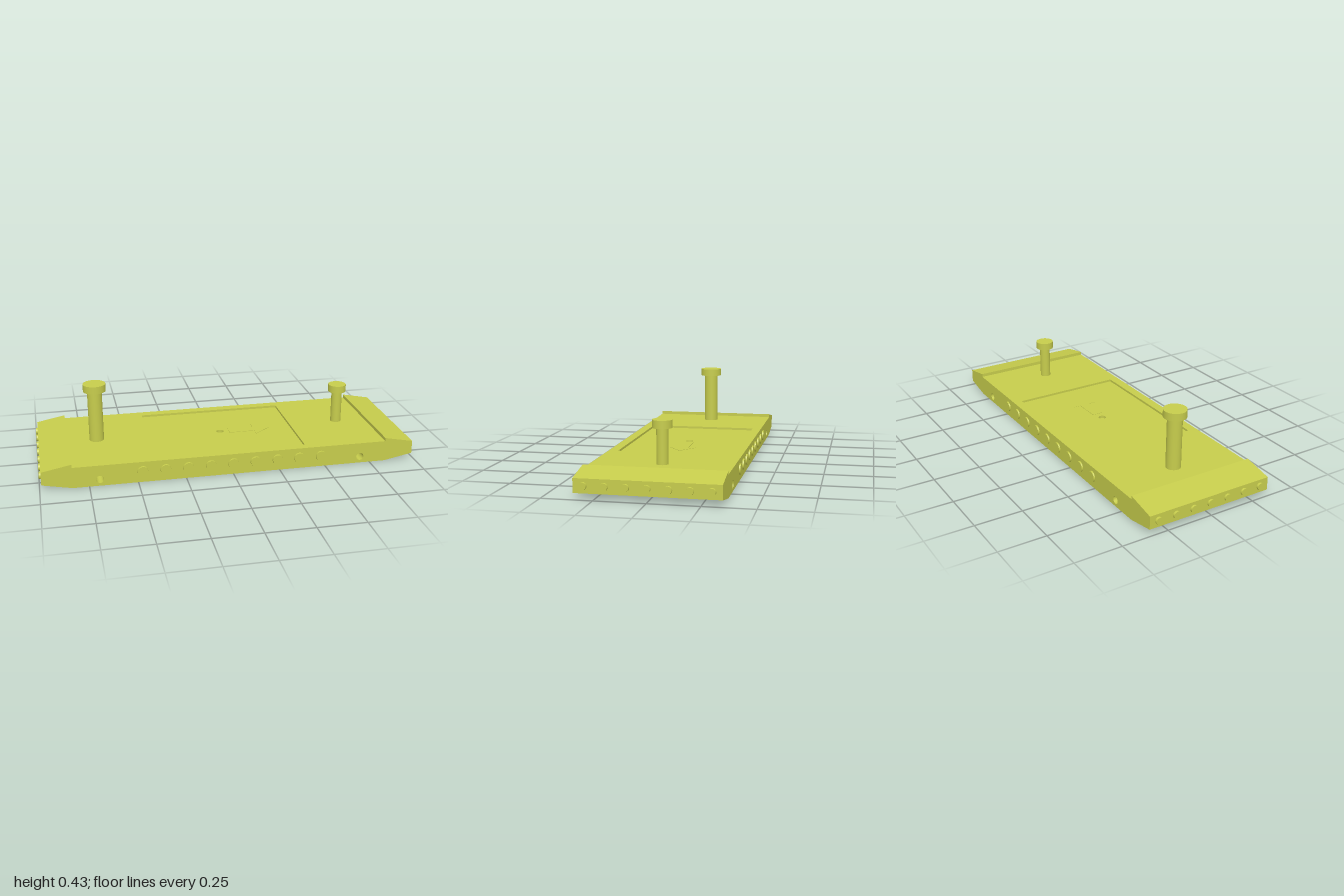
import * as THREE from 'three';

const mat = new THREE.MeshStandardMaterial({ color: 0xc6cc4c });
const HALF_Z = 0.347, RIDGE = 0.835, DECK = 0.112, PAN = 0.1, BASE = 0.085;

function add(parent, name, geo, x = 0, y = 0, z = 0) {
  const mesh = new THREE.Mesh(geo, mat);
  mesh.name = name;
  mesh.position.set(x, y, z);
  parent.add(mesh);
  return mesh;
}

const polygon = (pts) => new THREE.Shape(pts.map(([x, y]) => new THREE.Vector2(x, y)));
const rect = (w, h) => polygon([[-w, -h], [w, -h], [w, h], [-w, h]]);

function circle(x, y, r) {
  const path = new THREE.Path();
  path.absarc(x, y, r, 0, Math.PI * 2, true);
  return path;
}

// Horizontal plate lying between two heights
function plate(shape, y0, y1) {
  const geo = new THREE.ExtrudeGeometry(shape, { depth: y1 - y0, bevelEnabled: false, curveSegments: 16 });
  return geo.rotateX(-Math.PI / 2).translate(0, y0, 0);
}

// Post with a wider cap
function post(name, x, r, capR, capY, topY) {
  const g = new THREE.Group();
  g.name = name;
  g.position.x = x;
  add(g, 'postShaft', new THREE.CylinderGeometry(r, r, capY - PAN, 32), 0, (capY + PAN) / 2);
  add(g, 'postCap', new THREE.CylinderGeometry(capR, capR, topY - capY, 32), 0, (capY + topY) / 2);
  return g;
}

export function createModel() {
  const model = new THREE.Group();
  model.name = 'sledPlate';

  // Body: side profile with sloped ends, raised end ridges and two cross holes
  const profile = polygon([
    [-RIDGE, 0], [RIDGE, 0], [0.99, 0.03], [0.99, 0.1], [RIDGE, 0.13],
    [RIDGE, BASE], [-RIDGE, BASE], [-RIDGE, 0.13], [-0.99, 0.1], [-0.99, 0.03],
  ]);
  for (const x of [-0.695, 0.695]) profile.holes.push(circle(x, 0.035, 0.02));
  const body = new THREE.ExtrudeGeometry(profile, { depth: 2 * HALF_Z, bevelEnabled: false, curveSegments: 16 });
  add(model, 'body', body.translate(0, 0, -HALF_Z));

  // Recess floor with its centre hole
  const floor = rect(RIDGE, HALF_Z);
  floor.holes.push(circle(0, 0, 0.02));
  add(model, 'recessFloor', plate(floor, BASE, PAN));

  // Deck around the rectangular recess
  const deck = rect(RIDGE, HALF_Z);
  deck.holes.push(rect(0.398, 0.298));
  add(model, 'deck', plate(deck, PAN, DECK));

  // Direction arrow on the recess floor
  const arrow = polygon([
    [0.05, -0.03], [0.19, -0.03], [0.19, -0.07], [0.28, 0], [0.19, 0.07], [0.19, 0.03], [0.05, 0.03],
  ]);
  add(model, 'directionArrow', plate(arrow, PAN, PAN + 0.002));

  model.add(post('tallPost', -0.68, 0.039, 0.06, 0.39, 0.43));
  model.add(post('shortPost', 0.67, 0.029, 0.049, 0.29, 0.33));

  // Round studs on the long sides and on both ends
  const sideStud = new THREE.CylinderGeometry(0.027, 0.03, 0.02, 24).rotateX(Math.PI / 2);
  const endStud = new THREE.CylinderGeometry(0.018, 0.02, 0.02, 24).rotateZ(-Math.PI / 2);
  for (const s of [1, -1]) {
    for (let i = -4; i <= 4; i++) {
      add(model, 'sideStud', sideStud, i * 0.119, 0.06, s * 0.345).rotation.y = s > 0 ? 0 : Math.PI;
    }
    for (let i = -3; i <= 3; i++) {
      add(model, 'endStud', endStud, s * 0.99, 0.065, i * 0.0995).rotation.y = s > 0 ? 0 : Math.PI;
    }
  }
  return model;
}
